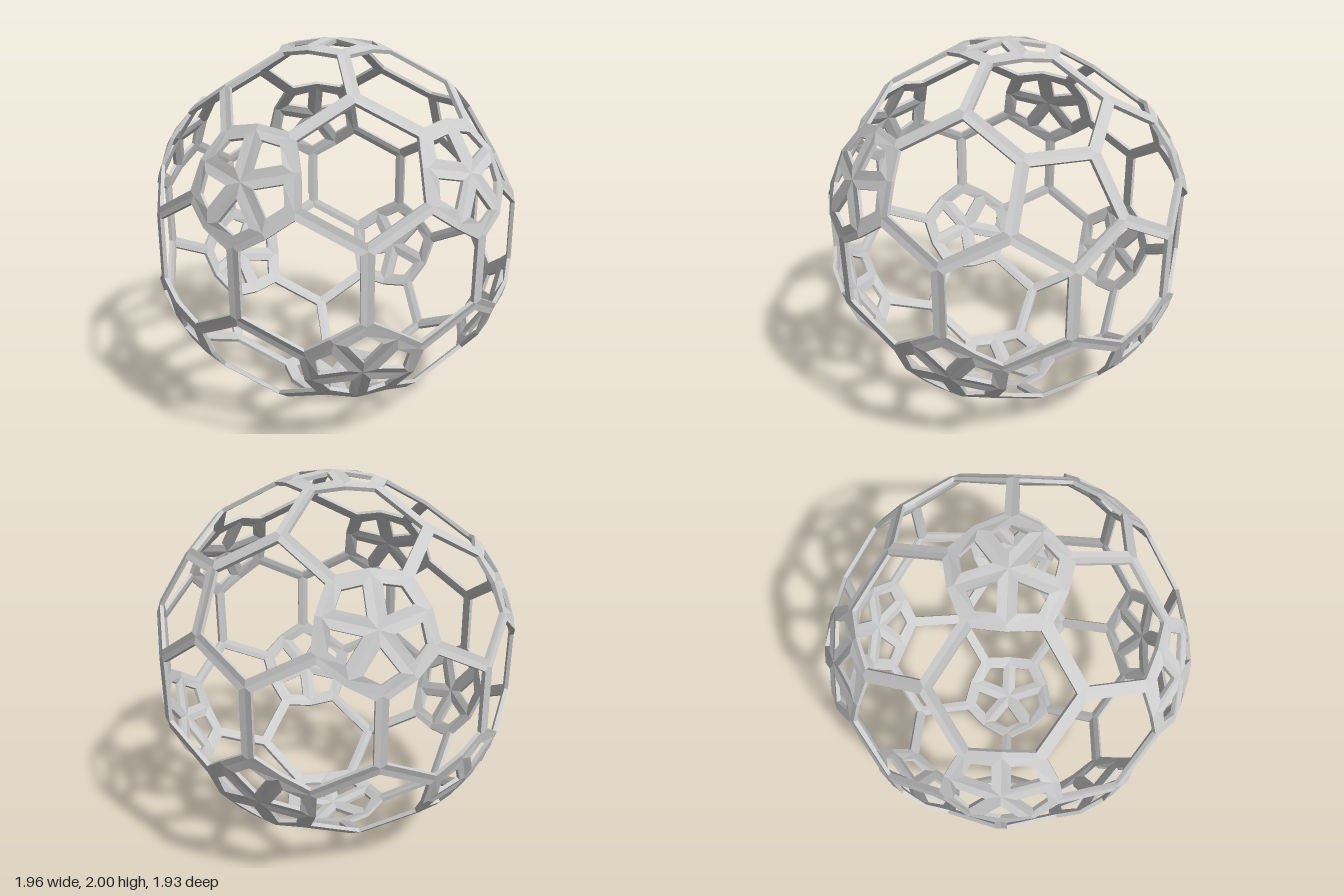
import * as THREE from 'three';

const CORNER = THREE.MathUtils.degToRad(16.6); // pentagon corner, angle from its centre
const MIDDLE = THREE.MathUtils.degToRad(14.4); // pentagon edge midpoint, slightly bowed out
const DOME = 1, SHELL = 0.99;                  // radii of spoked pentagons and of the cage
const INNER = 0.98;                            // scale of the inside skin
const STRUT = 0.031, SPOKE = 0.044;            // half widths of struts and spokes

// Twelve pentagon centres: two poles and two rings of five
function pentagonCentres() {
  const list = [new THREE.Vector3(0, 1, 0)];
  const h = 1 / Math.sqrt(5), r = 2 * h;
  for (const [y, start] of [[h, 0], [-h, Math.PI / 5]]) {
    for (let k = 0; k < 5; k++) {
      const a = start + k * Math.PI * 0.4;
      list.push(new THREE.Vector3(r * Math.cos(a), y, r * Math.sin(a)));
    }
  }
  list.push(new THREE.Vector3(0, -1, 0));
  return list;
}

// Point at a given angle from c towards another point, at a given radius
function towards(c, target, angle, radius) {
  const t = target.clone().addScaledVector(c, -target.dot(c)).normalize();
  return c.clone().multiplyScalar(Math.cos(angle))
    .addScaledVector(t, Math.sin(angle)).multiplyScalar(radius);
}

// Corners, edge midpoints and surrounding joints of one pentagon, anticlockwise
function pentagonData(c, centres, open) {
  const u = new THREE.Vector3(0.31, 0.17, 0.93).cross(c).normalize();
  const w = c.clone().cross(u);
  const angle = (p) => Math.atan2(p.dot(w), p.dot(u));
  const near = centres.filter((p) => p.dot(c) > 0.4 && p.dot(c) < 0.9)
    .sort((a, b) => angle(a) - angle(b));
  const joints = near.map((n, k) =>
    c.clone().add(n).add(near[(k + 1) % 5]).normalize().multiplyScalar(SHELL));
  const corners = joints.map((d) => towards(c, d, CORNER, SHELL));
  const mids = near.map((n) => towards(c, n, MIDDLE, DOME));
  return { c, near, joints, corners, mids, open };
}

// Adds a rim around a polygon: outer skin, inner skin and the wall of the opening
function addRim(out, poly, width) {
  const n = poly.length;
  const inset = poly.map((v, i) => {
    const up = v.clone().normalize();
    const before = v.clone().sub(poly[(i + n - 1) % n]);
    const after = poly[(i + 1) % n].clone().sub(v);
    const n1 = up.clone().cross(before).normalize();
    const n2 = up.clone().cross(after).normalize();
    return v.clone().addScaledVector(n1.clone().add(n2), width / (1 + n1.dot(n2)));
  });
  const shrink = (v) => v.clone().multiplyScalar(INNER);
  const quad = (a, b, c, d) => {
    for (const p of [a, b, c, a, c, d]) out.push(p.x, p.y, p.z);
  };
  for (let i = 0; i < n; i++) {
    const j = (i + 1) % n;
    const a = poly[i], b = poly[j], p = inset[i], q = inset[j];
    quad(a, b, q, p);
    quad(shrink(b), shrink(a), shrink(p), shrink(q));
    quad(p, q, shrink(q), shrink(p));
  }
}

export function createModel() {
  const group = new THREE.Group();
  group.name = 'sphereCage';
  const material = new THREE.MeshStandardMaterial({ color: 0xcccccc, flatShading: true });
  const addMesh = (name, positions) => {
    const g = new THREE.BufferGeometry();
    g.setAttribute('position', new THREE.Float32BufferAttribute(positions, 3));
    g.computeVertexNormals();
    const mesh = new THREE.Mesh(g, material);
    mesh.name = name;
    mesh.position.y = 1;
    group.add(mesh);
  };

  // One pentagon, facing +x, is left without spokes
  const centres = pentagonCentres();
  const pents = centres.map((c, i) => pentagonData(c, centres, i === 1));

  // Hexagonal openings, one between each pair of neighbouring pentagons
  const hexes = [];
  const sideOf = (p, other) => {
    const k = p.near.indexOf(other), l = (k + 4) % 5;
    const edge = p.open ? [] : [p.mids[k]];
    return [p.corners[k], ...edge, p.corners[l], p.joints[l]];
  };
  pents.forEach((a, i) => pents.slice(i + 1).forEach((b) => {
    if (a.near.includes(b.c)) addRim(hexes, [...sideOf(a, b.c), ...sideOf(b, a.c)], STRUT);
  }));
  addMesh('hexagonStruts', hexes);

  // Pentagons: five windows between spokes that run to the edge midpoints
  for (const p of pents) {
    const rim = [];
    if (p.open) addRim(rim, p.corners, STRUT);
    else {
      for (let k = 0; k < 5; k++) {
        addRim(rim, [p.c, p.mids[k], p.corners[k], p.mids[(k + 1) % 5]], SPOKE);
      }
    }
    addMesh(p.open ? 'openPentagon' : 'spokedPentagon', rim);
  }
  return group;
}
